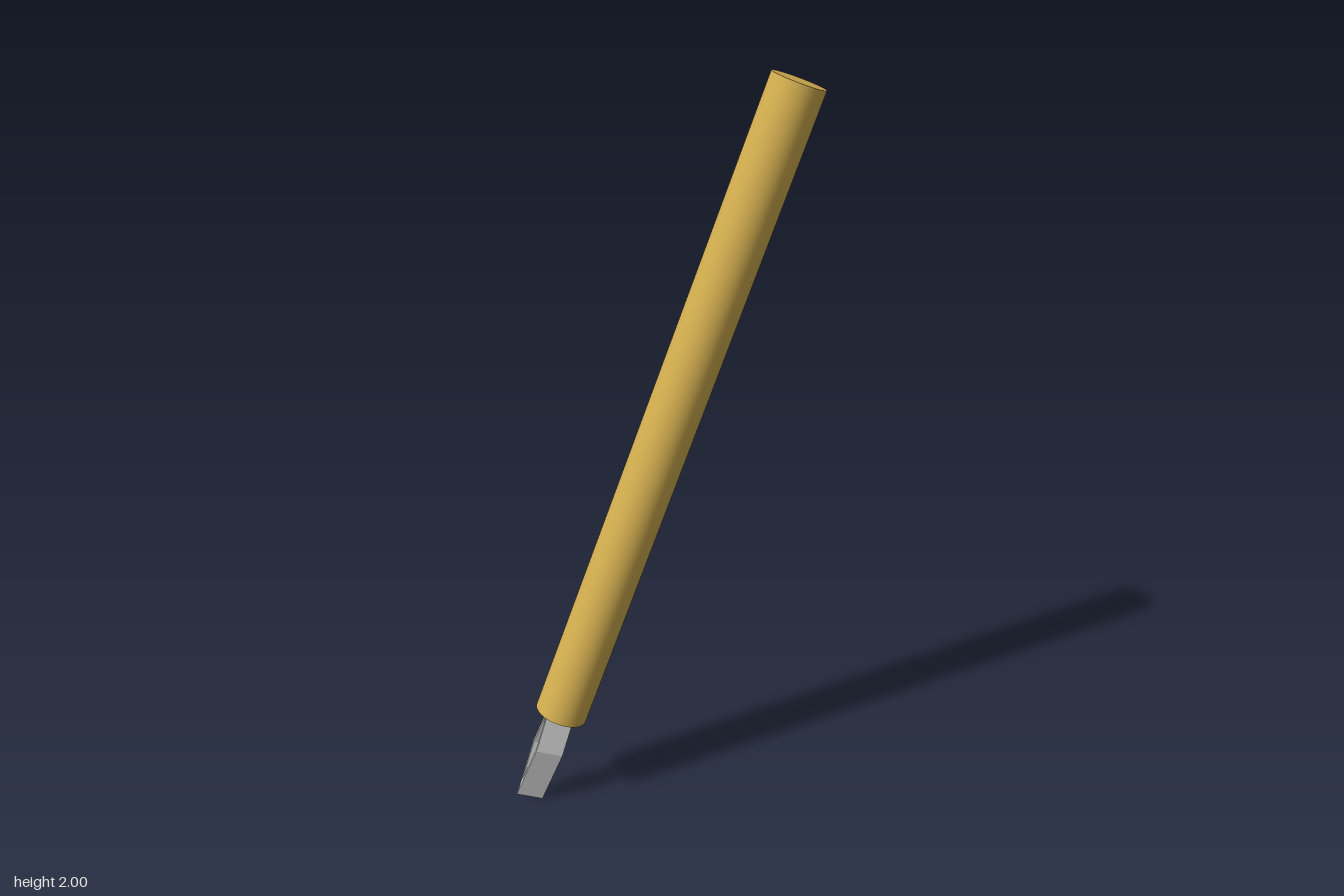
import * as THREE from 'three';

const ROD_RADIUS = 0.0715;
const ROD_LENGTH = 1.808;
const NIB_WIDTH = 0.076;

// Diamond outline around height cy, given as half width and half height
function diamond(path, cy, w, h) {
  path.moveTo(0, cy - h);
  path.lineTo(w, cy);
  path.lineTo(0, cy + h);
  path.lineTo(-w, cy);
  path.closePath();
  return path;
}

export function createModel() {
  const model = new THREE.Group();
  model.name = 'pen';

  // Everything is built upright with the lower end of the handle at the origin
  const handle = new THREE.Mesh(
    new THREE.CylinderGeometry(ROD_RADIUS, ROD_RADIUS, ROD_LENGTH, 64),
    new THREE.MeshStandardMaterial({ color: 0xd4af50 })
  );
  handle.name = 'handle';
  handle.position.y = ROD_LENGTH / 2;

  // Hollow diamond nib, its upper point set into the handle
  const outline = diamond(new THREE.Shape(), -0.118, 0.029, 0.163);
  outline.holes.push(diamond(new THREE.Path(), -0.118, 0.02, 0.113));
  const nibGeometry = new THREE.ExtrudeGeometry(outline, { depth: NIB_WIDTH, bevelEnabled: false });
  nibGeometry.translate(0, 0, -NIB_WIDTH / 2);
  nibGeometry.rotateY(Math.PI / 2);
  const nib = new THREE.Mesh(
    nibGeometry,
    new THREE.MeshStandardMaterial({ color: 0xcccccc, flatShading: true })
  );
  nib.name = 'nib';

  // Lean the whole tool to its left
  const tool = new THREE.Group();
  tool.name = 'leaningTool';
  tool.add(handle, nib);
  tool.rotation.z = -THREE.MathUtils.degToRad(20);
  tool.position.set(-0.277, 0.277, 0);
  model.add(tool);
  return model;
}
